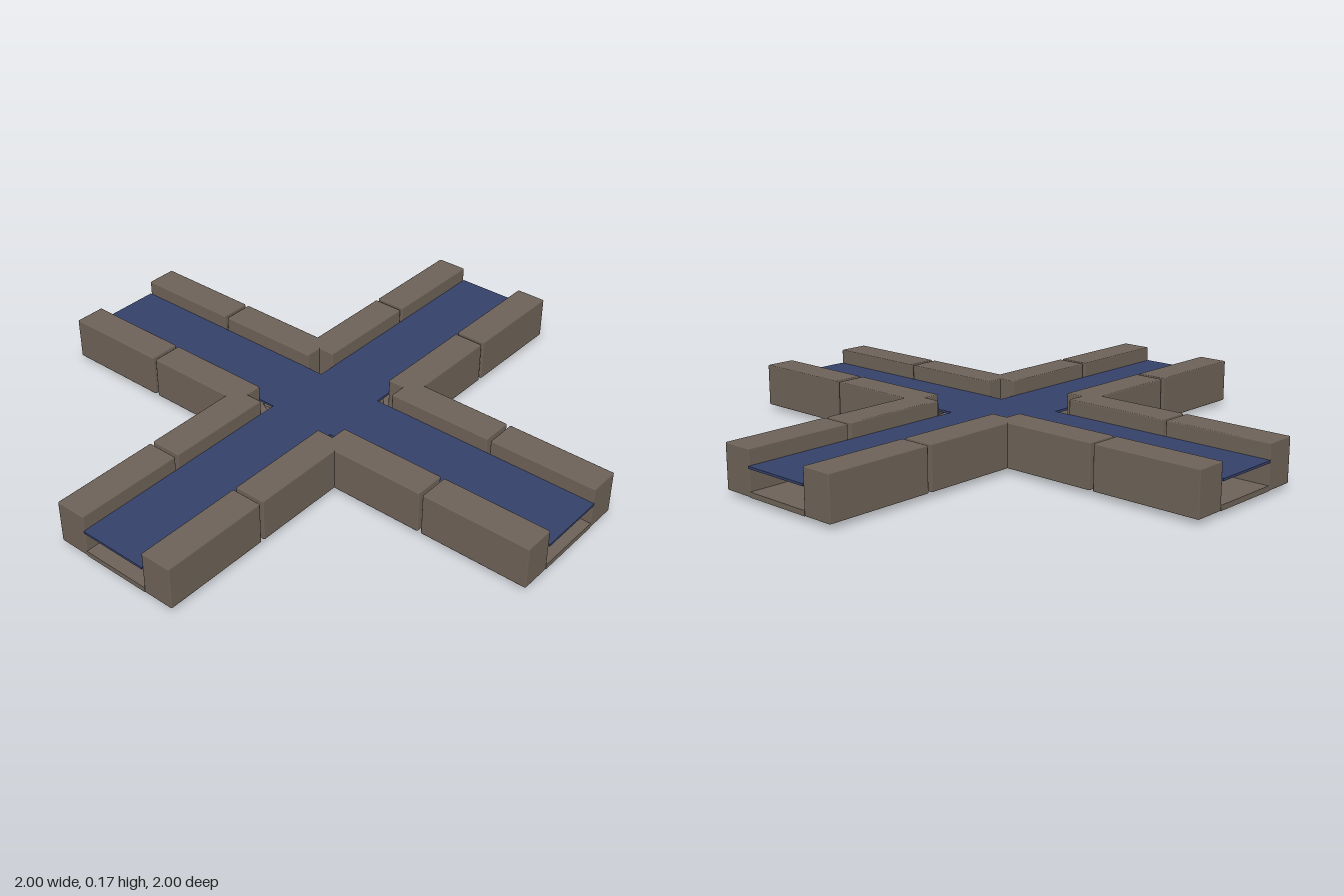
import * as THREE from 'three';
import { RoundedBoxGeometry } from 'three/addons/geometries/RoundedBoxGeometry.js';

export function createModel() {
  const model = new THREE.Group();
  model.name = 'canalCrossing';

  const stone = new THREE.MeshStandardMaterial({ color: 0x6e6258 });
  stone.name = 'stone';
  const water = new THREE.MeshStandardMaterial({ color: 0x35416a });
  water.name = 'water';

  const add = (parent, name, geometry, material, x, y, z) => {
    const mesh = new THREE.Mesh(geometry, material);
    mesh.name = name;
    mesh.position.set(x, y, z);
    parent.add(mesh);
    return mesh;
  };

  // small seeded generator for rock variation
  let seed = 7;
  const rand = () => (seed = (seed * 16807) % 2147483647) / 2147483647;

  // faceted flat boulder with a vertex at top and bottom
  const rockGeometry = () => {
    const g = new THREE.IcosahedronGeometry(1, 0);
    g.rotateZ(-Math.atan(2 / (1 + Math.sqrt(5))));
    g.rotateY(rand() * Math.PI * 2);
    g.scale(0.125 + rand() * 0.015, 0.045 + rand() * 0.003, 0.115 + rand() * 0.015);
    g.computeVertexNormals();
    return g;
  };

  // wall blocks and floor slabs: inner and outer segment of each arm
  const segments = [[0.19, 0.587], [0.6, 0.997]];
  for (let i = 0; i < 4; i++) {
    const arm = new THREE.Group();
    arm.name = 'arm' + (i + 1);
    arm.rotation.y = (i * Math.PI) / 2;
    model.add(arm);
    for (const [start, end] of segments) {
      const length = end - start;
      const mid = (start + end) / 2;
      for (const side of [-1, 1]) {
        const block = new RoundedBoxGeometry(length, 0.155, 0.115, 1, 0.004);
        add(arm, 'wallBlock', block, stone, mid, 0.1025, side * 0.1855);
      }
      add(arm, 'floorSlab', new THREE.BoxGeometry(length, 0.018, 0.258), stone, mid, 0.034, 0);
    }
    // floor between the centre slab and the first segment
    add(arm, 'floorSlab', new THREE.BoxGeometry(0.062, 0.018, 0.258), stone, 0.16, 0.034, 0);
    add(arm, 'floorJoint', new THREE.BoxGeometry(0.013, 0.014, 0.258), stone, 0.5935, 0.036, 0);

    // boulders poking through the bed
    for (const x of [0.15, 0.45, 0.75]) {
      add(arm, 'bedRock', rockGeometry(), stone, x, 0.054 + rand() * 0.004, 0);
    }
  }
  add(model, 'centreFloor', new THREE.BoxGeometry(0.258, 0.018, 0.258), stone, 0, 0.034, 0);

  // one cross-shaped sheet of water
  const w = 0.128;
  const corners = [
    [1, -w], [1, w], [w, w], [w, 1], [-w, 1], [-w, w],
    [-1, w], [-1, -w], [-w, -w], [-w, -1], [w, -1], [w, -w],
  ];
  const cross = new THREE.Shape(corners.map(([x, y]) => new THREE.Vector2(x, y)));
  const sheet = new THREE.ExtrudeGeometry(cross, { depth: 0.008, bevelEnabled: false });
  sheet.rotateX(-Math.PI / 2);
  add(model, 'waterSurface', sheet, water, 0, 0.118, 0);

  return model;
}
